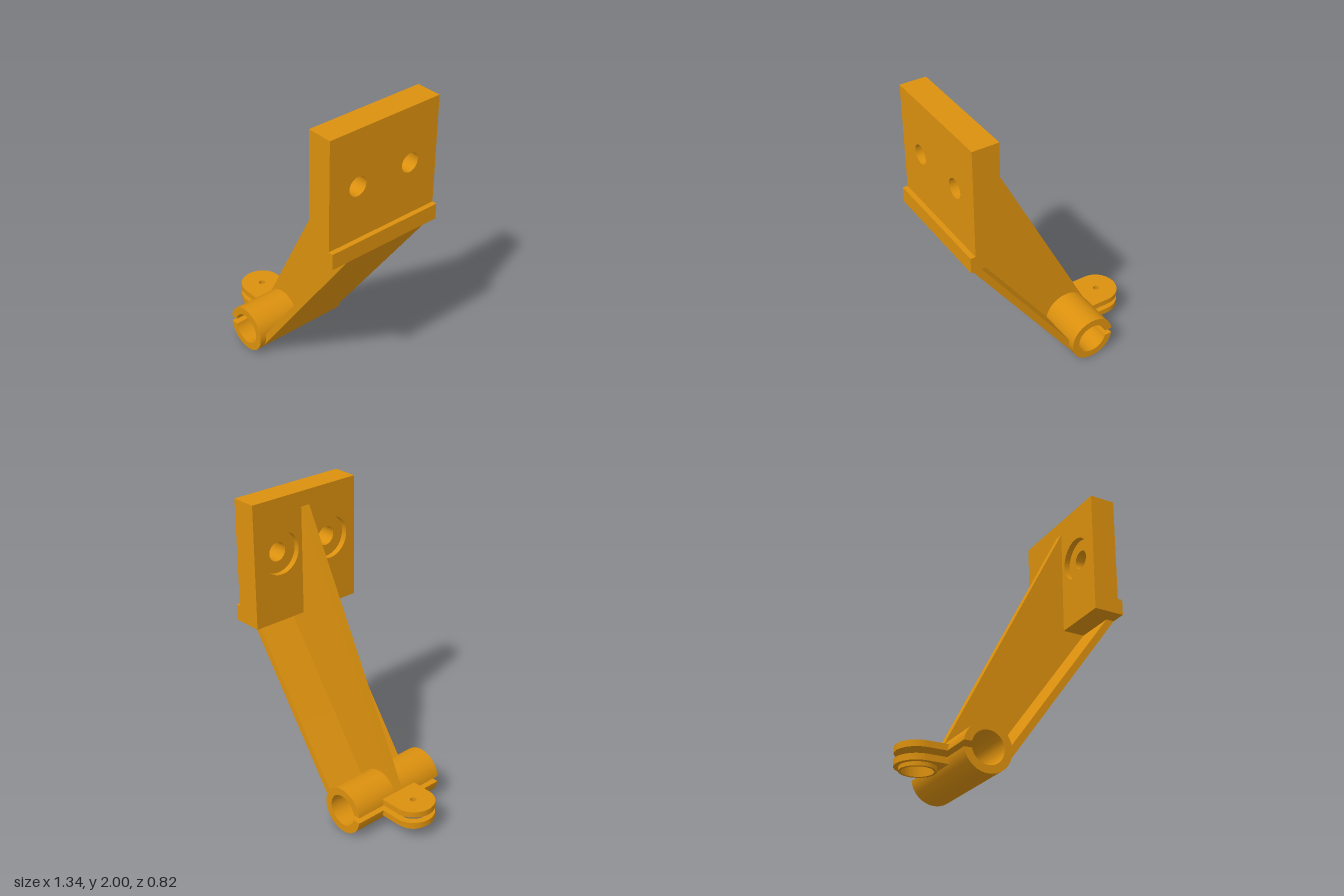
import * as THREE from 'three';
import { toCreasedNormals } from 'three/addons/utils/BufferGeometryUtils.js';

const material = new THREE.MeshStandardMaterial({ color: 0xdb900e });

// Clamp axis and radii
const CX = -0.255, CY = 0.155, R_OUT = 0.155, R_IN = 0.105;
// Bolt axis through the clamp ears
const BOLT_X = -0.53;

function extrude(shape, depth) {
  return new THREE.ExtrudeGeometry(shape, { depth, bevelEnabled: false, curveSegments: 40 });
}

function addMesh(parent, name, geometry) {
  const mesh = new THREE.Mesh(toCreasedNormals(geometry, 0.5), material);
  mesh.name = name;
  parent.add(mesh);
}

function circleHole(x, y, r) {
  return new THREE.Path().absarc(x, y, r, 0, Math.PI * 2, true);
}

// Profile in the x-y plane, extruded symmetrically along z
function alongZ(shape, halfWidth) {
  return extrude(shape, 2 * halfWidth).translate(0, 0, -halfWidth);
}

// Profile in the x-z plane, extruded upwards from y0 to y1
function upwards(shape, y0, y1) {
  return extrude(shape, y1 - y0).rotateX(-Math.PI / 2).translate(0, y0, 0);
}

// Layer of the mounting plate between x0 and x1 with two holes
function plateLayer(x0, x1, holeRadius) {
  const s = new THREE.Shape();
  s.moveTo(-0.41, 1.18).lineTo(0.41, 1.18).lineTo(0.41, 2).lineTo(-0.41, 2).closePath();
  for (const z of [-0.2, 0.2]) s.holes.push(circleHole(z, 1.635, holeRadius));
  return extrude(s, x1 - x0).rotateY(Math.PI / 2).translate(x0, 0, 0);
}

// Rounded clamp ear with a bolt or nut opening
function earShape(holeRadius) {
  const s = new THREE.Shape();
  s.moveTo(-0.37, -0.14).lineTo(-0.37, 0.14).lineTo(BOLT_X, 0.14);
  s.absarc(BOLT_X, 0, 0.14, Math.PI / 2, Math.PI * 1.5, false);
  s.closePath();
  s.holes.push(circleHole(BOLT_X, 0, holeRadius));
  return s;
}

export function createModel() {
  const model = new THREE.Group();
  model.name = 'clampBracket';

  // Mounting plate: counterbored rear layer, drilled front layer, bottom lip
  const plate = new THREE.Group();
  plate.name = 'mountingPlate';
  model.add(plate);
  addMesh(plate, 'counterboreLayer', plateLayer(0.465, 0.505, 0.14));
  addMesh(plate, 'drilledLayer', plateLayer(0.505, 0.637, 0.063));
  addMesh(plate, 'bottomLip',
    new THREE.BoxGeometry(0.034, 0.105, 0.82).translate(0.653, 1.2325, 0));

  // Split clamp tube with a slot on the ear side
  const clamp = new THREE.Group();
  clamp.name = 'clamp';
  model.add(clamp);
  const outer = Math.PI - Math.asin(0.02 / R_OUT);
  const inner = Math.PI - Math.asin(0.02 / R_IN);
  const ring = new THREE.Shape();
  ring.absarc(CX, CY, R_OUT, -outer, outer, false);
  ring.absarc(CX, CY, R_IN, inner, -inner, true);
  ring.closePath();
  addMesh(clamp, 'clampTube', alongZ(ring, 0.35));

  // Ears: small bolt hole above, wide nut pocket with a rim below
  addMesh(clamp, 'upperEar', upwards(earShape(0.021), 0.175, 0.215));
  addMesh(clamp, 'lowerEar', upwards(earShape(0.095), 0.095, 0.135));
  const rim = new THREE.Shape().absarc(BOLT_X, 0, 0.112, 0, Math.PI * 2, false);
  rim.holes.push(circleHole(BOLT_X, 0, 0.095));
  addMesh(clamp, 'nutPocketRim', upwards(rim, 0.07, 0.095));

  // Sloping flange, tangent to the tube's underside
  const flange = new THREE.Shape();
  flange.moveTo(-0.129, 0.065).lineTo(0.67, 1.18).lineTo(0.615, 1.18);
  flange.lineTo(-0.107, 0.172).lineTo(-0.125, 0.15).closePath();
  addMesh(model, 'flange', alongZ(flange, 0.305));

  // Central rib between tube, plate and flange, ending inside the tube wall
  const rib = new THREE.Shape();
  rib.moveTo(-0.129, 0.068).lineTo(0.64, 1.18).lineTo(0.468, 1.18);
  rib.lineTo(0.468, 1.906).lineTo(-0.393, 0.226);
  rib.absarc(CX, CY, 0.135, 2.67, -0.62, true);
  rib.closePath();
  addMesh(model, 'centralRib', alongZ(rib, 0.032));

  return model;
}
